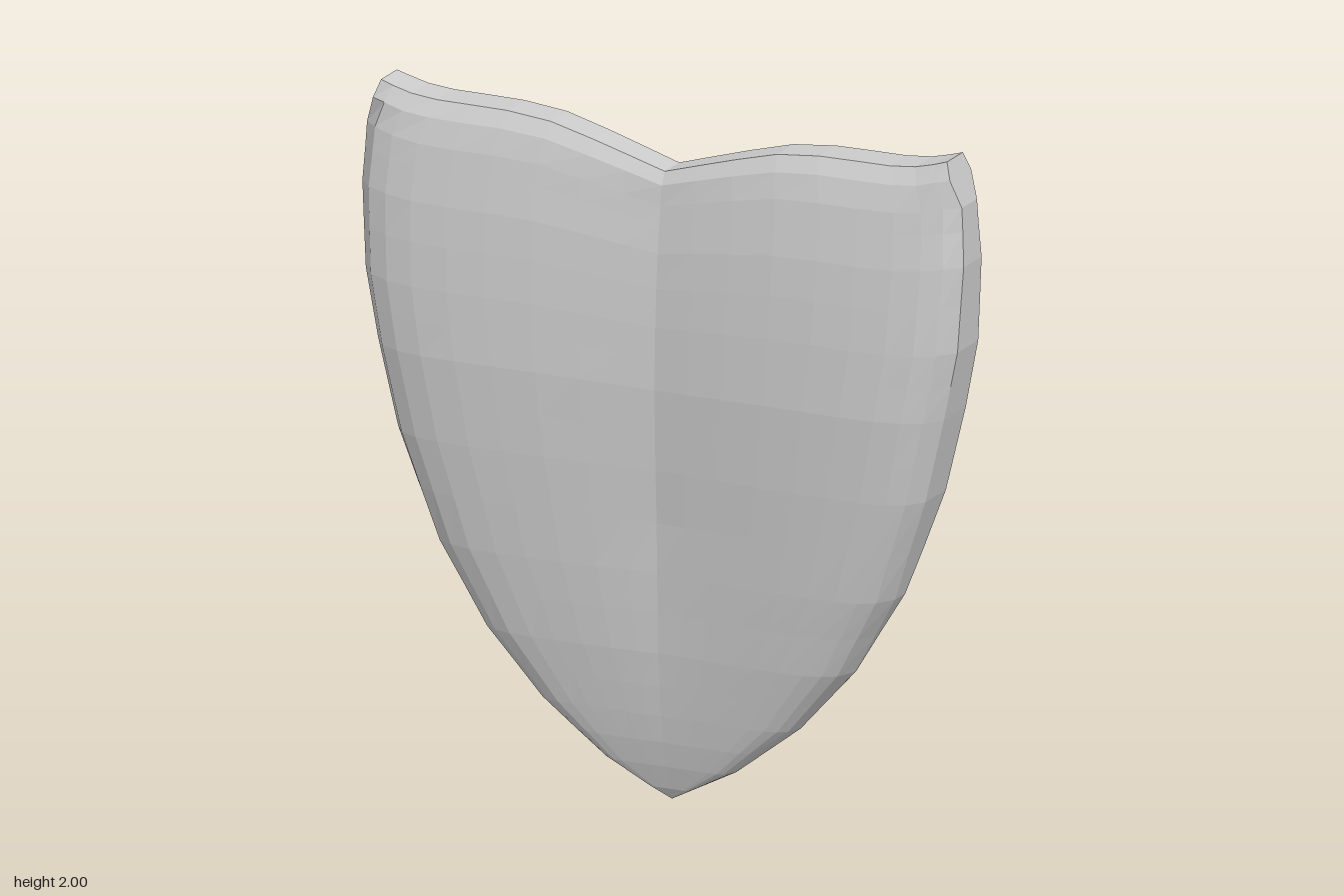
import * as THREE from 'three';

// Linear lookup in a list of [position, value] pairs
function lookup(table, p) {
  for (let i = 1; i < table.length; i++) {
    const [p0, v0] = table[i - 1];
    const [p1, v1] = table[i];
    if (p <= p1) return THREE.MathUtils.lerp(v0, v1, (p - p0) / (p1 - p0));
  }
  return table[table.length - 1][1];
}

// Half width of the shield at each height
const halfWidth = [[0, 0], [0.105, 0.2], [0.26, 0.4], [0.45, 0.57], [0.69, 0.71], [1, 0.82],
  [1.25, 0.88], [1.45, 0.92], [1.7, 0.935], [1.87, 0.925], [2, 0.88]];
// Height of the top edge, from the centre dip to the raised corners
const topEdge = [[0, 1.85], [0.2, 1.91], [0.37, 1.955], [0.5, 1.965], [0.7, 1.965], [0.8, 1.975], [0.88, 2]];
// Greatest half thickness at each height
const halfDepth = [[0, 0], [0.05, 0.03], [0.2, 0.065], [0.45, 0.105], [0.7, 0.133], [1, 0.155],
  [1.25, 0.165], [1.5, 0.155], [1.7, 0.136], [1.87, 0.108], [1.95, 0.085], [2, 0.055]];

const rows = [0, 0.035, 0.105, 0.18, 0.26, 0.35, 0.45, 0.57, 0.69, 0.84, 1, 1.12, 1.25,
  1.35, 1.45, 1.58, 1.7, 1.8, 1.87, 1.95, 2];
const half = [0.12, 0.25, 0.4, 0.55, 0.68, 0.8, 0.89, 0.955, 1];
const columns = [...half.map((u) => -u).reverse(), 0, ...half];

// Point on the front (side 1) or back (side -1) face
function shieldPoint(u, h, side) {
  const { smoothstep } = THREE.MathUtils;
  const x = u * lookup(halfWidth, h);
  const a = Math.abs(u);
  const y = h - (2 - lookup(topEdge, Math.abs(x))) * (h / 2) ** 4;
  // centre valley, fading out towards the tip and the top edge
  const valley = 0.32 * smoothstep(h, 0, 0.9) * (1 - 0.5 * smoothstep(h, 1.85, 2));
  const swell = 1 - valley * (1 - Math.sin(Math.PI / 2 * Math.min(1, a / 0.7)));
  // rounded shoulder: a sharp rim low down, a flat band higher up
  const rim = 0.42 * smoothstep(h, 0.3, 1) + 0.5 * smoothstep(h, 1.85, 2);
  const s = Math.max(0, (a - 0.65) / 0.35);
  const shoulder = rim + (1 - rim) * Math.sqrt(Math.max(0, 1 - s ** 3));
  return [x, y, side * lookup(halfDepth, h) * swell * shoulder];
}

function shieldGeometry() {
  const positions = [];
  const indices = [];
  const n = columns.length;
  const ring = 2 * n;
  // Each row is a closed loop: across the front, back across the rear
  for (const h of rows) {
    for (const u of columns) positions.push(...shieldPoint(u, h, 1));
    for (const u of [...columns].reverse()) positions.push(...shieldPoint(u, h, -1));
  }
  for (let i = 0; i < rows.length - 1; i++) {
    for (let j = 0; j < ring; j++) {
      const a = i * ring + j;
      const b = i * ring + (j + 1) % ring;
      if (i > 0) indices.push(a, b, b + ring);
      indices.push(a, b + ring, a + ring);
    }
  }
  // Top edge strip
  const top = (rows.length - 1) * ring;
  for (let j = 0; j < n - 1; j++) {
    const a = top + j;
    const back = top + ring - 1 - j;
    indices.push(a, a + 1, back - 1, a, back - 1, back);
  }
  const geometry = new THREE.BufferGeometry();
  geometry.setAttribute('position', new THREE.Float32BufferAttribute(positions, 3));
  geometry.setIndex(indices);
  geometry.computeVertexNormals();
  return geometry;
}

export function createModel() {
  const group = new THREE.Group();
  group.name = 'shield';
  const material = new THREE.MeshStandardMaterial({ color: 0xcccccc, flatShading: true });
  const body = new THREE.Mesh(shieldGeometry(), material);
  body.name = 'shieldBody';
  group.add(body);
  return group;
}
